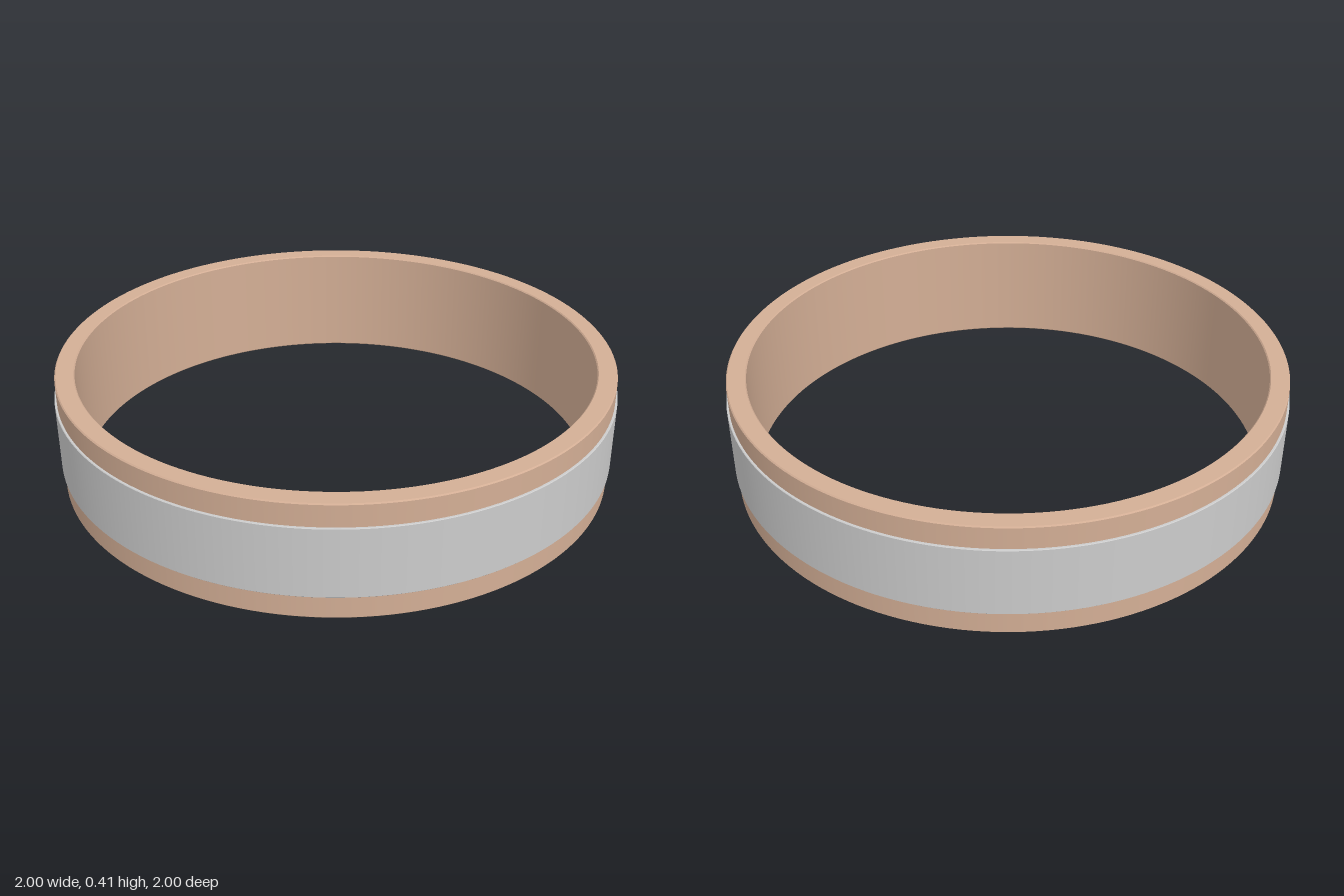
import * as THREE from 'three';
import { mergeGeometries } from 'three/addons/utils/BufferGeometryUtils.js';

const SEGMENTS = 160;

// Revolves a closed [radius, height] outline, keeping its corners sharp.
function ringGeometry(outline) {
  const sides = outline.map((p, i) => {
    const q = outline[(i + 1) % outline.length];
    return new THREE.LatheGeometry([new THREE.Vector2(...p), new THREE.Vector2(...q)], SEGMENTS);
  });
  return mergeGeometries(sides);
}

// Rectangular ring section with a small bevel on every edge.
function bevelledOutline(inner, outer, bottom, top, bevel) {
  return [
    [outer - bevel, bottom], [outer, bottom + bevel],
    [outer, top - bevel], [outer - bevel, top],
    [inner + bevel, top], [inner, top - bevel],
    [inner, bottom + bevel], [inner + bevel, bottom],
  ];
}

function ring(name, color, outline) {
  const material = new THREE.MeshStandardMaterial({ color });
  const mesh = new THREE.Mesh(ringGeometry(outline), material);
  mesh.name = name;
  return mesh;
}

export function createModel() {
  const group = new THREE.Group();
  group.name = 'ring';

  // Warm metal body, showing inside and along both rims
  group.add(ring('ringBody', 0xd3ae95, bevelledOutline(0.923, 0.992, 0, 0.414, 0.004)));

  // Slightly raised grey band around the middle
  group.add(ring('centreBand', 0xcccccc, bevelledOutline(0.97, 1, 0.083, 0.333, 0.002)));

  return group;
}
